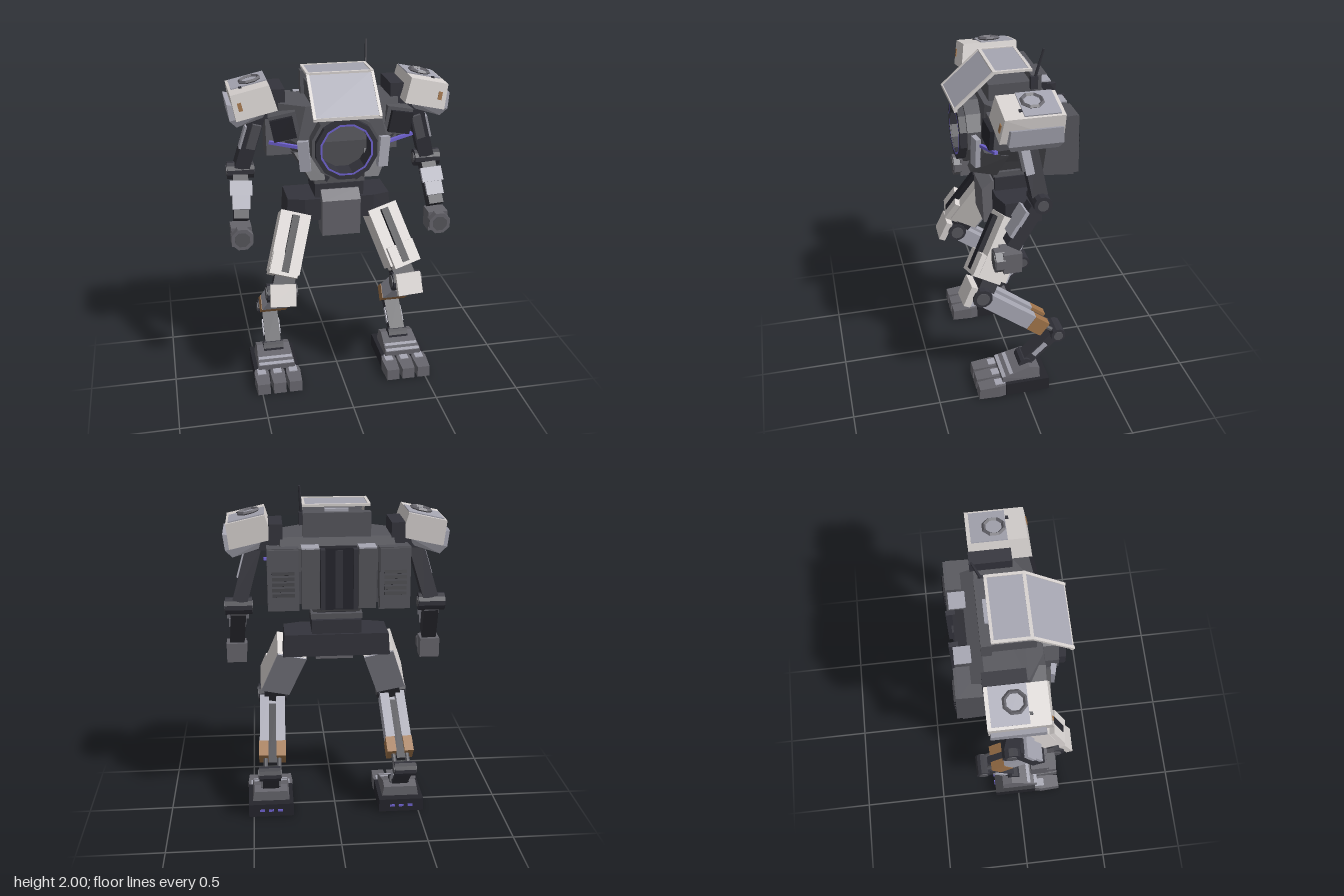
import * as THREE from 'three';
import { ConvexGeometry } from 'three/addons/geometries/ConvexGeometry.js';

const V = (a) => new THREE.Vector3(...a);

function paint(name, color) {
  const m = new THREE.MeshStandardMaterial({ color });
  m.name = name;
  return m;
}

// flat facets for low-poly round parts
function facet(geo) {
  const g = geo.toNonIndexed();
  g.computeVertexNormals();
  return g;
}
const box = (w, h, d) => new THREE.BoxGeometry(w, h, d);
const drum = (r, len, axis, n = 12, r2 = r) => {
  const g = new THREE.CylinderGeometry(r2, r, len, n);
  g.rotateY(Math.PI / n);
  if (axis === 'x') g.rotateZ(Math.PI / 2);
  if (axis === 'z') g.rotateX(Math.PI / 2);
  return facet(g);
};
// hollow 12-sided ring along z
const ring = (outer, inner, z0, z1) => {
  const g = new THREE.LatheGeometry([[inner, z0], [outer, z0], [outer, z1], [inner, z1], [inner, z0]]
    .map(([r, y]) => new THREE.Vector2(r, y)), 12);
  g.rotateY(Math.PI / 12);
  g.rotateX(Math.PI / 2);
  return facet(g);
};
const hull = (pts, s = 1) => new ConvexGeometry(pts.map(([x, y, z]) => V([x * s, y, z])));
// hull symmetric about x = 0
const hull2 = (pts) => hull([...pts, ...pts.map(([x, y, z]) => [-x, y, z])]);

export function createModel() {
  const root = new THREE.Group();
  root.name = 'walker';
  const white = paint('offWhite', 0xd8d3d1), pale = paint('paleGrey', 0xa6a6b2),
    grey = paint('midGrey', 0x66656c), steel = paint('darkGrey', 0x55555b),
    dark = paint('charcoal', 0x34343c), black = paint('nearBlack', 0x25252c),
    brown = paint('brown', 0xa0744a), violet = paint('violet', 0x6f62d0);

  const group = (name, parent = root) => {
    const g = new THREE.Group();
    g.name = name;
    parent.add(g);
    return g;
  };
  // adds a part; s = -1 places it on the mirrored side
  const put = (parent, name, mat, geo, p = [0, 0, 0], r = [0, 0, 0], s = 1) => {
    const m = new THREE.Mesh(geo, mat);
    m.name = name;
    m.position.set(p[0] * s, p[1], p[2]);
    m.rotation.set(r[0], r[1] * s, r[2] * s);
    parent.add(m);
  };
  // limb frame: origin at the lower joint, y toward the upper joint, z forward
  const limb = (parent, name, low, up, s) => {
    const a = V(low), b = V(up);
    a.x *= s; b.x *= s;
    const y = b.sub(a).normalize();
    const z = new THREE.Vector3(1, 0, 0).cross(y).normalize();
    const x = y.clone().cross(z);
    const g = group(name, parent);
    g.quaternion.setFromRotationMatrix(new THREE.Matrix4().makeBasis(x, y, z));
    g.position.copy(a);
    return g;
  };

  // pelvis and waist
  const pelvis = group('pelvis');
  put(pelvis, 'hipBlock', dark, hull2([[.305, 1.025, -.15], [.295, 1.155, -.15],
    [.305, 1.025, .06], [.295, 1.155, .06], [.2, 1.025, .09], [.2, 1.155, .09]]));
  put(pelvis, 'frontGuard', grey, hull2([[.11, .945, .02], [.11, .945, .14], [.11, 1.16, .15],
    [.11, 1.21, .09], [.11, 1.2, .02]]));
  put(pelvis, 'waistPlate', dark, box(.28, .08, .23), [0, 1.2, -.035]);
  put(pelvis, 'waistColumn', black, box(.22, .12, .18), [0, 1.27, -.03]);
  put(pelvis, 'waistCollar', steel, box(.29, .03, .24), [0, 1.262, -.03]);

  // torso
  const torso = group('torso');
  put(torso, 'torsoBody', steel, hull2([[.31, 1.675, -.25], [.31, 1.72, -.16], [.335, 1.72, .06], [.2, 1.72, .15],
    [.31, 1.55, -.25], [.34, 1.56, .1], [.25, 1.52, .17], [.22, 1.36, -.22], [.22, 1.38, .08],
    [.14, 1.36, .15]]));
  put(torso, 'belly', steel, hull2([[.2, 1.4, -.17], [.2, 1.4, .14], [.13, 1.28, -.12], [.13, 1.28, .09]]));

  // open round nose
  const nose = group('noseRing', torso);
  put(nose, 'barrel', steel, ring(.19, .143, .08, .24), [0, 1.505, 0]);
  put(nose, 'bezel', dark, ring(.173, .142, .235, .278), [0, 1.505, 0]);
  put(nose, 'barrelLining', dark, ring(.1435, .139, .1, .27), [0, 1.505, 0]);
  put(nose, 'barrelBack', black, drum(.143, .01, 'z'), [0, 1.505, .14]);
  put(nose, 'glowRim', violet, new THREE.RingGeometry(.137, .148, 12, 1, Math.PI / 12), [0, 1.505, .28]);

  // cockpit with thin glass over an open tub
  const cockpit = group('cockpit');
  put(cockpit, 'tub', steel, box(.33, .12, .28), [0, 1.75, -.02]);
  put(cockpit, 'rearWall', steel, box(.37, .16, .055), [0, 1.77, -.137]);
  put(cockpit, 'rearLight', pale, box(.13, .03, .035), [0, 1.85, -.115]);
  put(cockpit, 'roofGlass', pale, box(.34, .008, .19), [0, 1.88, -.005]);
  put(cockpit, 'windscreen', pale, box(.34, .008, .28), [0, 1.785, .2], [.724, 0, 0]);
  put(cockpit, 'browBar', white, box(.37, .014, .018), [0, 1.882, .092]);
  put(cockpit, 'sillBar', white, box(.37, .018, .018), [0, 1.69, .3]);
  put(cockpit, 'rearBar', white, box(.37, .014, .016), [0, 1.88, -.105]);
  for (const s of [1, -1]) {
    put(cockpit, 'roofRail', white, box(.016, .014, .2), [.178, 1.882, -.005], [0, 0, 0], s);
    put(cockpit, 'screenRail', white, box(.016, .014, .29), [.178, 1.787, .2], [.724, 0, 0], s);
  }
  put(cockpit, 'antennaBase', dark, box(.03, .07, .04), [.19, 1.815, -.12]);
  const mast = limb(cockpit, 'antenna', [.19, 1.8, -.115], [.203, 2, -.168], 1);
  put(mast, 'mast', dark, drum(.009, .207, 'y', 6, .006), [0, .1035, 0]);

  // back pack
  const pack = group('backPack');
  put(pack, 'spine', black, box(.2, .34, .08), [0, 1.515, -.25]);
  put(pack, 'spineRidge', dark, box(.04, .32, .03), [0, 1.515, -.285]);

  for (const s of [1, -1]) {
    const side = s > 0 ? 'left' : 'right';
    const O = [0, 0, 0];
    put(pack, 'spineColumn', steel, box(.095, .33, .1), [.153, 1.52, -.255], O, s);
    put(pack, 'columnCap', pale, box(.095, .008, .1), [.153, 1.688, -.255], O, s);
    put(pack, 'spineRod', dark, box(.025, .33, .05), [.088, 1.52, -.3], O, s);
    put(pack, 'podBody', steel, hull([[.23, 1.36, -.12], [.385, 1.36, -.12], [.215, 1.68, -.16], [.385, 1.68, -.16],
      [.215, 1.345, -.295], [.385, 1.345, -.295], [.215, 1.69, -.3], [.385, 1.69, -.3]], s));
    put(pack, 'podCover', steel, box(.165, .33, .03), [.3, 1.52, -.305], [.03, 0, 0], s);
    for (let i = 0; i < 5; i++)
      put(pack, 'ventSlat', black, box(.12, .018, .016), [.3, 1.44 + i * .03, -.323], [.3, 0, 0], s);

    // chest flanks
    put(torso, 'shoulderCollar', dark, box(.075, .12, .225), [.333, 1.735, -.065], O, s);
    put(torso, 'shoulderAxle', dark, box(.2, .1, .12), [.4, 1.68, -.02], O, s);
    put(torso, 'chestBlock', steel, box(.15, .15, .12), [.31, 1.61, .09], [0, .1, -.2], s);
    put(torso, 'chestVent', black, box(.125, .12, .03), [.325, 1.605, .158], [0, .1, -.2], s);
    put(torso, 'glowStrip', violet, box(.16, .017, .02), [.325, 1.517, .158], [0, .3, .14], s);
    put(torso, 'cheekBlock', steel, hull([[.12, 1.47, .167], [.27, 1.47, .167], [.12, 1.435, .035], [.27, 1.435, .035],
      [.11, 1.28, .08], [.18, 1.28, .08], [.11, 1.325, .23], [.19, 1.325, .23]], s));
    put(torso, 'cheekPlate', pale, box(.06, .17, .03), [.22, 1.46, .205], [0, .25, -.08], s);
    put(torso, 'bellyPipe', dark, box(.05, .05, .08), [.09, 1.31, .1], [0, 0, .6], s);

    // shoulder armour, tipped outward
    const pad = group(side + 'ShoulderArmour');
    pad.position.set(.485 * s, 1.742, 0);
    pad.rotation.z = -.22 * s;
    put(pad, 'padShell', white, hull([[-.125, -.06, .16], [.105, -.06, .16], [-.115, .08, .138], [.1, .08, .138],
      [-.125, -.06, -.17], [.115, -.06, -.17], [-.115, .08, -.175], [.1, .08, -.175]], s));
    put(pad, 'padSkirt', pale, hull([[-.06, -.06, .13], [.13, .03, .11], [.138, -.06, .12], [.11, -.11, .1],
      [-.04, -.095, .1], [-.06, -.06, -.165], [.13, .03, -.16], [.138, -.06, -.165], [.11, -.11, -.15],
      [-.04, -.095, -.15]], s));
    put(pad, 'topPanel', pale, box(.2, .008, .19), [-.015, .082, -.06], O, s);
    const hatch = new THREE.TorusGeometry(.055, .011, 4, 8);
    hatch.rotateZ(Math.PI / 8);
    hatch.rotateX(Math.PI / 2);
    put(pad, 'hatchRing', grey, facet(hatch), [-.027, .093, -.03], O, s);
    put(pad, 'hatchLid', pale, drum(.046, .008, 'y', 8), [-.027, .088, -.03], O, s);
    put(pad, 'topStud', dark, box(.016, .01, .016), [.035, .083, .045], O, s);
    put(pad, 'marker', brown, box(.022, .045, .008), [.065, .01, .15], [-.156, 0, 0], s);

    // arm
    const arm = group(side + 'Arm');
    const elbow = [.547, 1.31, -.06];
    const upper = limb(arm, 'upperArm', elbow, [.44, 1.68, 0], s);
    put(upper, 'upperArmCore', dark, box(.085, .33, .085), [0, .19, 0], O, s);
    put(upper, 'upperArmFront', steel, box(.05, .15, .02), [-.01, .24, .048], O, s);
    put(upper, 'upperArmPlate', pale, box(.012, .14, .045), [.046, .22, .025], O, s);
    put(arm, 'elbowJoint', dark, drum(.05, .15, 'x'), elbow, O, s);
    put(arm, 'elbowCap', steel, drum(.03, .16, 'x'), elbow, O, s);
    const fore = limb(arm, 'forearm', [.57, 1.03, .12], elbow, s);
    put(fore, 'forearmCore', dark, box(.085, .25, .08), [0, .17, 0], O, s);
    put(fore, 'forearmGuard', pale, box(.125, .085, .022), [0, .215, .048], O, s);
    put(fore, 'forearmPlate', pale, box(.1, .08, .02), [0, .135, .046], O, s);
    put(arm, 'fist', grey, box(.115, .115, .1), [.572, .985, .1], O, s);
    put(arm, 'fistFace', grey, drum(.066, .05, 'z', 8), [.572, .985, .165], O, s);
    put(arm, 'fistPalm', steel, drum(.045, .008, 'z', 8), [.572, .985, .19], O, s);

    // thigh
    const leg = group(side + 'Leg');
    const knee = [.367, .655, .225], ankle = [.383, .325, -.22], foot = [.395, .14, -.02];
    const thigh = limb(leg, 'thigh', knee, [.222, 1.075, -.012], s);
    put(thigh, 'thighShell', white, box(.175, .35, .17), [.015, .28, .005], O, s);
    put(thigh, 'thighGuard', white, box(.16, .13, .175), [.02, .15, .035], O, s);
    put(thigh, 'thighStrip', black, box(.042, .33, .03), [.015, .27, .11], O, s);
    put(thigh, 'thighBack', pale, box(.174, .348, .008), [.015, .28, -.084], O, s);
    put(thigh, 'kneeFork', dark, box(.12, .14, .1), [0, .06, -.01], O, s);
    put(leg, 'kneeJoint', dark, drum(.056, .17, 'x'), knee, O, s);
    put(leg, 'kneeCap', steel, drum(.038, .182, 'x'), knee, O, s);
    put(leg, 'kneePad', white, box(.145, .125, .04), [.367, .667, .293], [-.42, 0, .06], s);

    // shin: plate with two rails, brown lower band
    const shin = limb(leg, 'shin', ankle, knee, s);
    for (const [name, mat, y, h, w] of [['shin', pale, .355, .316, .152], ['shinBand', brown, .147, .1, .158]]) {
      put(shin, name + 'Plate', mat, box(w, h, .04), [0, y, .03], O, s);
      for (const t of [1, -1]) put(shin, name + 'Rail', mat, box(.055, h, .055), [t * (w - .055) / 2, y, -.015], O, s);
    }
    put(shin, 'shinCore', dark, box(.05, .4, .03), [0, .26, -.01], O, s);
    for (const t of [1, -1]) put(shin, 'shinPiston', steel, drum(.014, .14, 'y', 8), [t * .04, .065, 0], O, s);

    // rear ankle link
    put(leg, 'ankleJoint', dark, drum(.044, .125, 'x'), [.398, .325, -.22], O, s);
    put(leg, 'ankleCap', steel, drum(.028, .138, 'x'), [.398, .325, -.22], O, s);
    const link = limb(leg, 'ankleLink', foot, [.392, .325, -.22], s);
    put(link, 'linkBar', dark, box(.095, .26, .062), [0, .13, 0], O, s);
    for (const t of [1, -1]) put(link, 'linkPlate', pale, box(.008, .1, .03), [t * .05, .13, .005], O, s);
    put(leg, 'footJoint', dark, drum(.04, .12, 'x'), [.395, .145, -.025], O, s);

    // foot
    const sole = group(side + 'Foot', leg);
    sole.position.x = .395 * s;
    put(sole, 'heel', black, box(.27, .08, .26), [0, .04, -.02]);
    put(sole, 'instep', grey, hull2([[.112, .075, -.1], [.112, .075, .125], [.11, .11, .125],
      [.1, .155, -.04], [.1, .14, -.1]]));
    for (let i = 0; i < 2; i++)
      put(sole, 'instepBand', pale, box(.21 - i * .008, .008, .022), [0, .112 + i * .012, .115 - i * .045], [.265, 0, 0]);
    for (let i = -1; i <= 1; i++) {
      const x = i * .095;
      put(sole, 'toe', grey, hull([-.044, .044].flatMap((d) => [[x + d * .8, 0, .1], [x + d * .8, .076, .1],
        [x + d, .075, .15], [x + d, 0, .15], [x + d * .85, .066, .265], [x + d * .85, 0, .27]])));
      put(sole, 'toePlate', pale, box(.05, .006, .06), [x, .077, .14], [.04, 0, 0]);
      put(sole, 'heelLight', violet, box(.03, .014, .006), [i * .055, .04, -.152]);
    }
  }
  return root;
}
